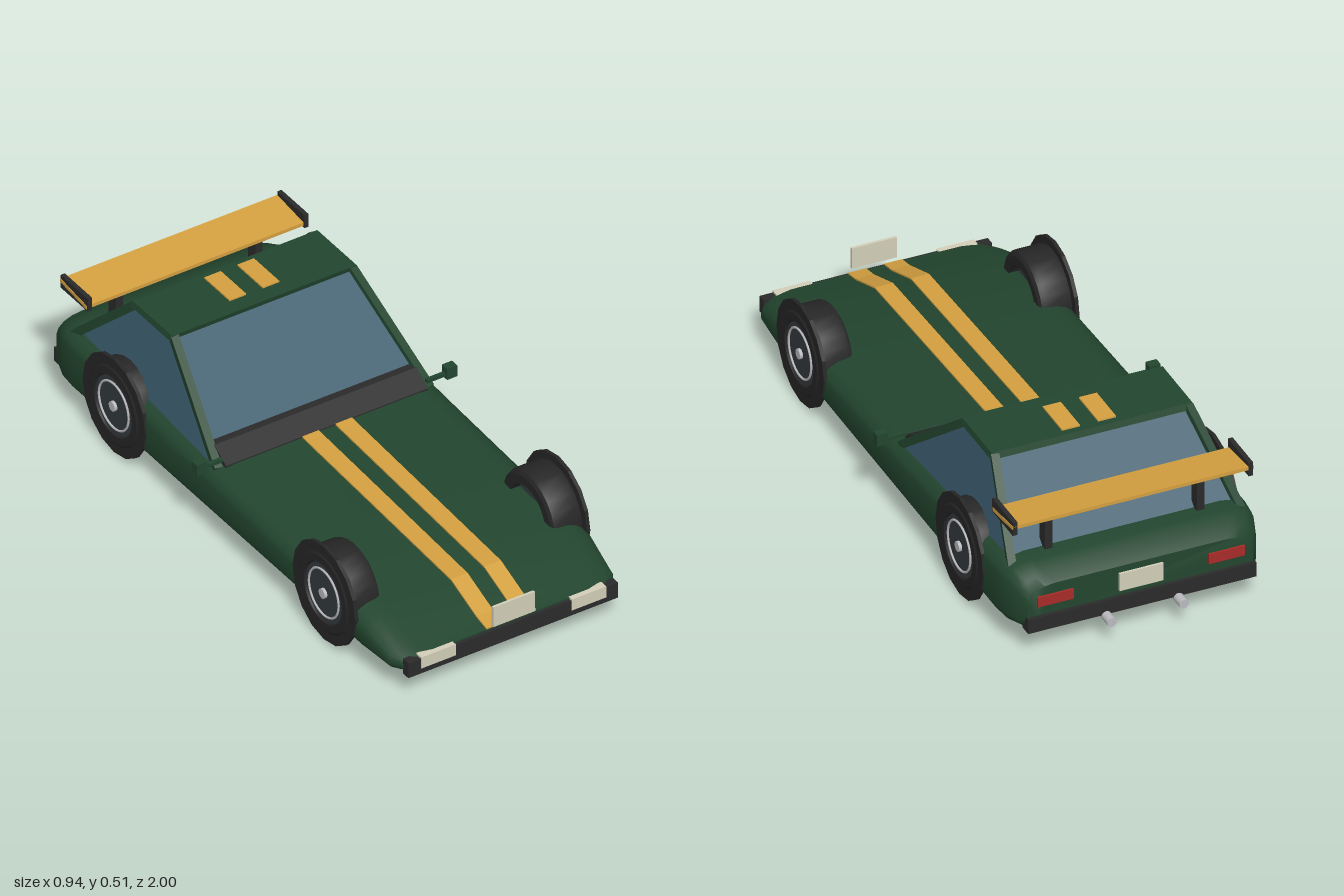
import * as THREE from 'three';
import { toCreasedNormals } from 'three/addons/utils/BufferGeometryUtils.js';

const mat = (name, color, side = THREE.FrontSide) => {
  const m = new THREE.MeshStandardMaterial({ color, side });
  m.name = name;
  return m;
};

export function createModel() {
  const car = new THREE.Group();
  car.name = 'car';
  const green = mat('green paint', 0x22452e);
  const gold = mat('gold paint', 0xd4a040);
  const glass = mat('tinted glass', 0x3b5b6d);
  const black = mat('black trim', 0x2b2b2c);
  const rubber = mat('rubber', 0x262627, THREE.DoubleSide);
  const gunmetal = mat('gunmetal', 0x343a3e);
  const silver = mat('silver', 0xbcbcc0);
  const cream = mat('cream', 0xd2ceb8);
  const red = mat('red lamp', 0xa82c28);

  const add = (name, geo, material, parent = car) => {
    const m = new THREE.Mesh(geo, material);
    m.name = name;
    parent.add(m);
    return m;
  };
  // Box given by its limits
  const box = (name, material, x0, x1, y0, y1, z0, z1) => {
    const m = add(name, new THREE.BoxGeometry(x1 - x0, y1 - y0, z1 - z0), material);
    m.position.set((x0 + x1) / 2, (y0 + y1) / 2, (z0 + z1) / 2);
    return m;
  };
  // Side outline of [z, y] points, extruded across x
  const profile = (name, material, pts, x0, x1) => {
    const shape = new THREE.Shape(pts.map(([z, y]) => new THREE.Vector2(z, y)));
    const geo = new THREE.ExtrudeGeometry(shape, { depth: x1 - x0, bevelEnabled: false });
    geo.rotateY(-Math.PI / 2).translate(x1, 0, 0);
    return add(name, geo, material);
  };
  // Closed skin over rings, counter-clockwise seen from the first ring's end
  const loft = (rings, crease) => {
    const n = rings[0].length, pos = rings.flat(2), idx = [];
    for (let i = 0; i < rings.length - 1; i++)
      for (let j = 0; j < n; j++) {
        const k = (j + 1) % n, a = i * n + j, b = i * n + k;
        idx.push(a, a + n, b, b, a + n, b + n);
      }
    const last = (rings.length - 1) * n;
    for (let j = 1; j < n - 1; j++) {
      idx.push(0, j, j + 1, last, last + j + 1, last + j);
    }
    const g = new THREE.BufferGeometry();
    g.setAttribute('position', new THREE.Float32BufferAttribute(pos, 3));
    g.setIndex(idx);
    return toCreasedNormals(g, crease);
  };

  // Body: rounded sections given by z, half width, bottom, top
  const section = ([z, w, b, t]) => {
    const h = t - b, ring = [];
    const corners = [
      [1, -1, 0.04, Math.min(0.035, h * 0.3)], [1, 1, 0.09, Math.min(0.05, h * 0.5)],
      [-1, 1, 0.09, Math.min(0.05, h * 0.5)], [-1, -1, 0.04, Math.min(0.035, h * 0.3)],
    ];
    corners.forEach(([sx, sy, rx, ry], c) => {
      const cx = sx * (w - rx), cy = sy > 0 ? t - ry : b + ry;
      for (let i = 0; i <= 4; i++) {
        const a = (c - 1 + i / 4) * Math.PI / 2;
        ring.push([cx + rx * Math.cos(a), cy + ry * Math.sin(a), z]);
      }
    });
    return ring;
  };
  const stations = [
    [0.985, 0.37, 0.08, 0.135], [0.93, 0.405, 0.076, 0.147], [0.79, 0.42, 0.075, 0.2],
    [0.4, 0.42, 0.075, 0.218], [0, 0.42, 0.075, 0.236], [-0.45, 0.42, 0.075, 0.262],
    [-0.8, 0.42, 0.075, 0.282], [-0.86, 0.415, 0.077, 0.279],
    [-0.92, 0.395, 0.084, 0.26], [-0.945, 0.375, 0.1, 0.235],
  ];
  add('body', loft(stations.map(section), 0.7), green);

  // Cabin: glass block, roof panel, corner pillars
  const ring4 = (w, y, zf, zb) => [[w, y, zf], [w, y, zb], [-w, y, zb], [-w, y, zf]];
  add('windows', loft([ring4(0.325, 0.495, -0.387, -0.58), ring4(0.388, 0.22, -0.045, -0.875)], 0.1), glass);
  add('roof', loft([ring4(0.334, 0.506, -0.375, -0.592), ring4(0.339, 0.486, -0.38, -0.6)], 0.1), green);
  const pillar = (name, a, b, size) => {
    const p = new THREE.Vector3(...a), q = new THREE.Vector3(...b);
    const m = add(name, new THREE.BoxGeometry(size, size, p.distanceTo(q)), green);
    m.position.copy(p).add(q).multiplyScalar(0.5);
    m.lookAt(q);
  };

  for (const s of [1, -1]) {
    const side = s > 0 ? 'left' : 'right';
    const sideBox = (name, material, x0, x1, ...rest) =>
      box(side + name, material, Math.min(s * x0, s * x1), Math.max(s * x0, s * x1), ...rest);

    pillar(side + 'FrontPillar', [s * 0.383, 0.225, -0.05], [s * 0.322, 0.494, -0.385], 0.026);
    pillar(side + 'RearPillar', [s * 0.38, 0.255, -0.84], [s * 0.322, 0.494, -0.587], 0.026);

    // Door mirrors
    sideBox('MirrorArm', green, 0.37, 0.44, 0.252, 0.264, -0.053, -0.04);
    sideBox('Mirror', green, 0.435, 0.472, 0.245, 0.285, -0.06, -0.03);

    // Lamps
    sideBox('Headlight', cream, 0.21, 0.335, 0.095, 0.136, 0.97, 0.999);
    sideBox('TailLight', red, 0.225, 0.345, 0.165, 0.2, -0.952, -0.943);

    // Stripes over bonnet and roof
    const x0 = s > 0 ? 0.03 : -0.09;
    const line = [[0.985, 0.135], [0.93, 0.147], [0.79, 0.2], [0.4, 0.218], [0, 0.236], [-0.03, 0.238]];
    const top = line.map(([z, y]) => [z, y + 0.005]).reverse();
    profile(side + 'BonnetStripe', gold, [...line, ...top].reverse(), x0, x0 + 0.06);
    box(side + 'RoofStripe', gold, x0, x0 + 0.06, 0.504, 0.511, -0.57, -0.43);

    // Wing supports and end plates
    sideBox('WingPost', black, 0.24, 0.265, 0.26, 0.42, -0.83, -0.79);
    sideBox('WingEndPlate', black, 0.385, 0.4, 0.403, 0.45, -0.89, -0.74);

    // Exhaust pipes
    const pipe = add(side + 'Exhaust', new THREE.CylinderGeometry(0.016, 0.016, 0.1, 12), silver);
    pipe.rotation.x = Math.PI / 2;
    pipe.position.set(s * 0.12, 0.078, -0.95);
  }

  // Trim
  profile('cowl', black, [[-0.03, 0.225], [-0.03, 0.242], [-0.095, 0.281], [-0.13, 0.281], [-0.13, 0.225]].reverse(), -0.366, 0.366);
  box('frontBumper', black, -0.38, 0.38, 0.075, 0.13, 0.965, 0.996);
  box('rearBumper', black, -0.38, 0.38, 0.082, 0.132, -0.958, -0.915);
  box('frontPlate', cream, -0.075, 0.075, 0.147, 0.22, 0.991, 1);
  box('rearPlate', cream, -0.073, 0.073, 0.15, 0.212, -0.953, -0.944);
  profile('rearWing', gold, [[-0.745, 0.409], [-0.745, 0.421], [-0.89, 0.437], [-0.89, 0.425]].reverse(), -0.402, 0.402);

  // Wheels: axis along local y, outer face towards +y
  const tyrePts = [[0.1, -0.06], [0.13, -0.06], [0.142, -0.053], [0.147, -0.04], [0.147, 0.04],
    [0.142, 0.053], [0.13, 0.06], [0.105, 0.06], [0.1, 0.052], [0.1, -0.06]];
  const tyreGeo = toCreasedNormals(new THREE.LatheGeometry(tyrePts.map((p) => new THREE.Vector2(...p)), 24), 0.5);
  const ringShape = new THREE.Shape().absarc(0, 0, 0.1725, 0, Math.PI * 2);
  ringShape.holes.push(new THREE.Path().absarc(0, 0, 0.125, 0, Math.PI * 2));
  const flangeGeo = new THREE.ExtrudeGeometry(ringShape, { depth: 0.012, bevelEnabled: false, curveSegments: 8 });
  flangeGeo.rotateX(-Math.PI / 2).translate(0, 0.044, 0);
  for (const s of [1, -1])
    for (const [end, z] of [['front', 0.6], ['rear', -0.557]]) {
      const wheel = new THREE.Group();
      wheel.name = end + (s > 0 ? 'Left' : 'Right') + 'Wheel';
      wheel.position.set(s * 0.37, 0.1725, z);
      wheel.rotation.z = -s * Math.PI / 2;
      add('tyre', tyreGeo, rubber, wheel);
      add('flange', flangeGeo, rubber, wheel);
      add('rim', new THREE.CylinderGeometry(0.101, 0.101, 0.08, 24), gunmetal, wheel).position.y = 0.014;
      const trim = add('rimRing', new THREE.TorusGeometry(0.082, 0.004, 6, 32), silver, wheel);
      trim.rotation.x = Math.PI / 2;
      trim.position.y = 0.056;
      add('hub', new THREE.CylinderGeometry(0.017, 0.017, 0.012, 12), silver, wheel).position.y = 0.058;
      car.add(wheel);
    }
  return car;
}
